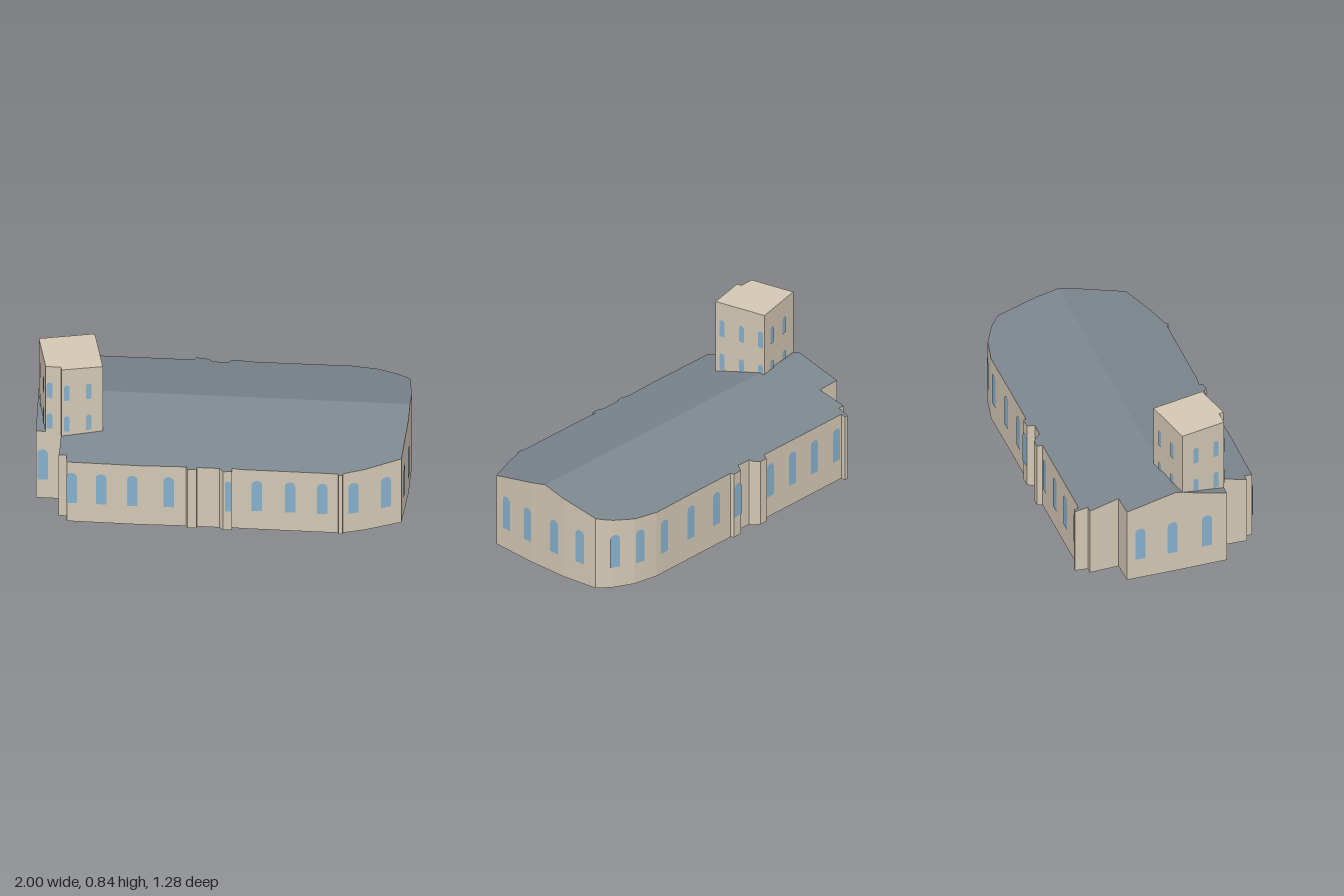
import * as THREE from 'three';

const WALL = new THREE.MeshStandardMaterial({ color: 0xd3c7b4, flatShading: true });
const ROOF = new THREE.MeshStandardMaterial({ color: 0x7c868e, flatShading: true });
const GLASS = new THREE.MeshStandardMaterial({ color: 0x86b0cc, side: THREE.DoubleSide });

// Footprint corners (x, z): north side west to east, then south side back again.
// Each side starts at one end of the ridge.
const NORTH = [
  [-0.945, -0.19], [-0.89, -0.45], [-0.76, -0.425], [-0.735, -0.583], [-0.7, -0.575], [-0.68, -0.64],
  [-0.66, -0.635], [-0.665, -0.61], [-0.085, -0.485], [-0.07, -0.51], [-0.025, -0.5], [0, -0.47],
  [0.005, -0.45], [0.085, -0.43], [0.11, -0.462], [0.165, -0.452], [0.17, -0.435], [0.4, -0.385], [0.725, -0.317],
  [0.855, -0.26], [0.945, -0.185], [0.985, -0.135], [1, -0.11], [0.978, 0.1],
];
const SOUTH = [
  [0.95, 0.225], [0.93, 0.32], [0.855, 0.578], [0.66, 0.617], [0.54, 0.628], [0.535, 0.64], [0.515, 0.635],
  [0.515, 0.625], [0.02, 0.515], [-0.025, 0.5], [-0.03, 0.52], [-0.075, 0.515], [-0.09, 0.49],
  [-0.205, 0.465], [-0.21, 0.477], [-0.255, 0.472], [-0.26, 0.452], [-0.5, 0.405], [-0.87, 0.32],
  [-0.865, 0.275], [-0.905, 0.267], [-0.895, 0.23], [-0.87, 0.12], [-1, 0.09],
];
const FOOTPRINT = [...NORTH, ...SOUTH];
const TOWER = [
  [-0.95, -0.15], [-0.655, -0.15], [-0.655, 0.145], [-0.872, 0.145], [-0.872, 0.119], [-0.95, 0.102],
];

// Roof height falls evenly away from the ridge line.
function roofHeight(x, z) {
  const [a, b] = [NORTH[0], SOUTH[0]];
  const dx = b[0] - a[0], dz = b[1] - a[1];
  const dist = Math.abs(dx * (z - a[1]) - dz * (x - a[0])) / Math.hypot(dx, dz);
  return 0.497 - 0.245 * dist;
}

const shapeOf = (pts, sign) => new THREE.Shape(pts.map(([x, z]) => new THREE.Vector2(x, sign * z)));

function addMesh(parent, name, geometry, material) {
  const mesh = new THREE.Mesh(geometry, material);
  mesh.name = name;
  parent.add(mesh);
  return mesh;
}

// One upright panel per footprint edge, topped by the roof slope.
function wallGeometry(pts) {
  const pos = [];
  pts.forEach(([ax, az], i) => {
    const [bx, bz] = pts[(i + 1) % pts.length];
    const a0 = [ax, 0, az], a1 = [ax, roofHeight(ax, az), az];
    const b0 = [bx, 0, bz], b1 = [bx, roofHeight(bx, bz), bz];
    pos.push(...b0, ...a0, ...a1, ...b0, ...a1, ...b1);
  });
  const g = new THREE.BufferGeometry();
  g.setAttribute('position', new THREE.Float32BufferAttribute(pos, 3));
  g.computeVertexNormals();
  return g;
}

function roofGeometry(pts) {
  const g = new THREE.ShapeGeometry(shapeOf(pts, -1)).rotateX(-Math.PI / 2);
  const p = g.attributes.position;
  for (let i = 0; i < p.count; i++) p.setY(i, roofHeight(p.getX(i), p.getZ(i)));
  g.computeVertexNormals();
  return g;
}

// Round-arched pane, standing on y = 0.
function paneGeometry(w, h) {
  const r = w / 2, s = new THREE.Shape();
  s.moveTo(-r, 0);
  s.lineTo(r, 0);
  s.lineTo(r, h - r);
  s.absarc(0, h - r, r, 0, Math.PI, false);
  s.closePath();
  return new THREE.ShapeGeometry(s, 8);
}

// Places a pane on the outline edge nearest to (x, z), facing outward.
function addWindow(parent, outline, x, z, y, w, h) {
  let best = { d: Infinity };
  outline.forEach(([ax, az], i) => {
    const [bx, bz] = outline[(i + 1) % outline.length];
    const dx = bx - ax, dz = bz - az, len = Math.hypot(dx, dz);
    const t = THREE.MathUtils.clamp(((x - ax) * dx + (z - az) * dz) / len ** 2, 0, 1);
    const px = ax + t * dx, pz = az + t * dz, d = Math.hypot(x - px, z - pz);
    if (d < best.d) best = { d, px, pz, nx: dz / len, nz: -dx / len };
  });
  const pane = addMesh(parent, 'window', paneGeometry(w, h), GLASS);
  pane.position.set(best.px + best.nx * 0.004, y, best.pz + best.nz * 0.004);
  pane.rotation.y = Math.atan2(best.nx, best.nz);
}

export function createModel() {
  const model = new THREE.Group();
  model.name = 'church';

  // Nave
  const nave = new THREE.Group();
  nave.name = 'nave';
  model.add(nave);
  addMesh(nave, 'walls', wallGeometry(FOOTPRINT), WALL);
  addMesh(nave, 'floor', new THREE.ShapeGeometry(shapeOf(FOOTPRINT, 1)).rotateX(Math.PI / 2), WALL);
  addMesh(nave, 'northRoof', roofGeometry([...NORTH, SOUTH[0]]), ROOF);
  addMesh(nave, 'southRoof', roofGeometry([...SOUTH, NORTH[0]]), ROOF);

  // Nave windows: south, east, north, west
  const spots = [
    [-0.965, 0.098], [-0.845, 0.326], [-0.695, 0.36], [-0.535, 0.397], [-0.35, 0.434],
    [0.1, 0.533], [0.27, 0.57], [0.435, 0.607], [0.595, 0.623], [0.77, 0.595],
    [0.878, 0.5], [0.923, 0.345], [0.965, 0.16], [0.99, -0.01],
    [0.94, -0.19], [0.825, -0.273], [0.67, -0.328], [0.47, -0.37], [0.28, -0.411], [0.138, -0.457],
    [-0.13, -0.495], [-0.295, -0.53], [-0.46, -0.566], [-0.625, -0.601],
    [-0.905, -0.38], [-0.94, -0.205], [-0.978, -0.02],
  ];
  for (const [x, z] of spots) addWindow(nave, FOOTPRINT, x, z, 0.12, 0.055, 0.193);
  addWindow(nave, FOOTPRINT, -0.05, 0.518, 0.12, 0.032, 0.193);

  // Tower
  const tower = new THREE.Group();
  tower.name = 'tower';
  model.add(tower);
  const block = new THREE.ExtrudeGeometry(shapeOf(TOWER, -1), { depth: 0.445, bevelEnabled: false });
  addMesh(tower, 'towerBlock', block.rotateX(-Math.PI / 2).translate(0, 0.4, 0), WALL);

  // Tower windows in two rows
  const towerSpots = [
    [-0.93, 0.107], [-0.845, 0.145], [-0.73, 0.145],
    [-0.655, 0.105], [-0.655, -0.014], [-0.655, -0.128],
    [-0.725, -0.15], [-0.85, -0.15], [-0.95, -0.07], [-0.95, 0.05],
  ];
  for (const y of [0.45, 0.648])
    for (const [x, z] of towerSpots) addWindow(tower, TOWER, x, z, y, 0.03, 0.097);

  return model;
}
